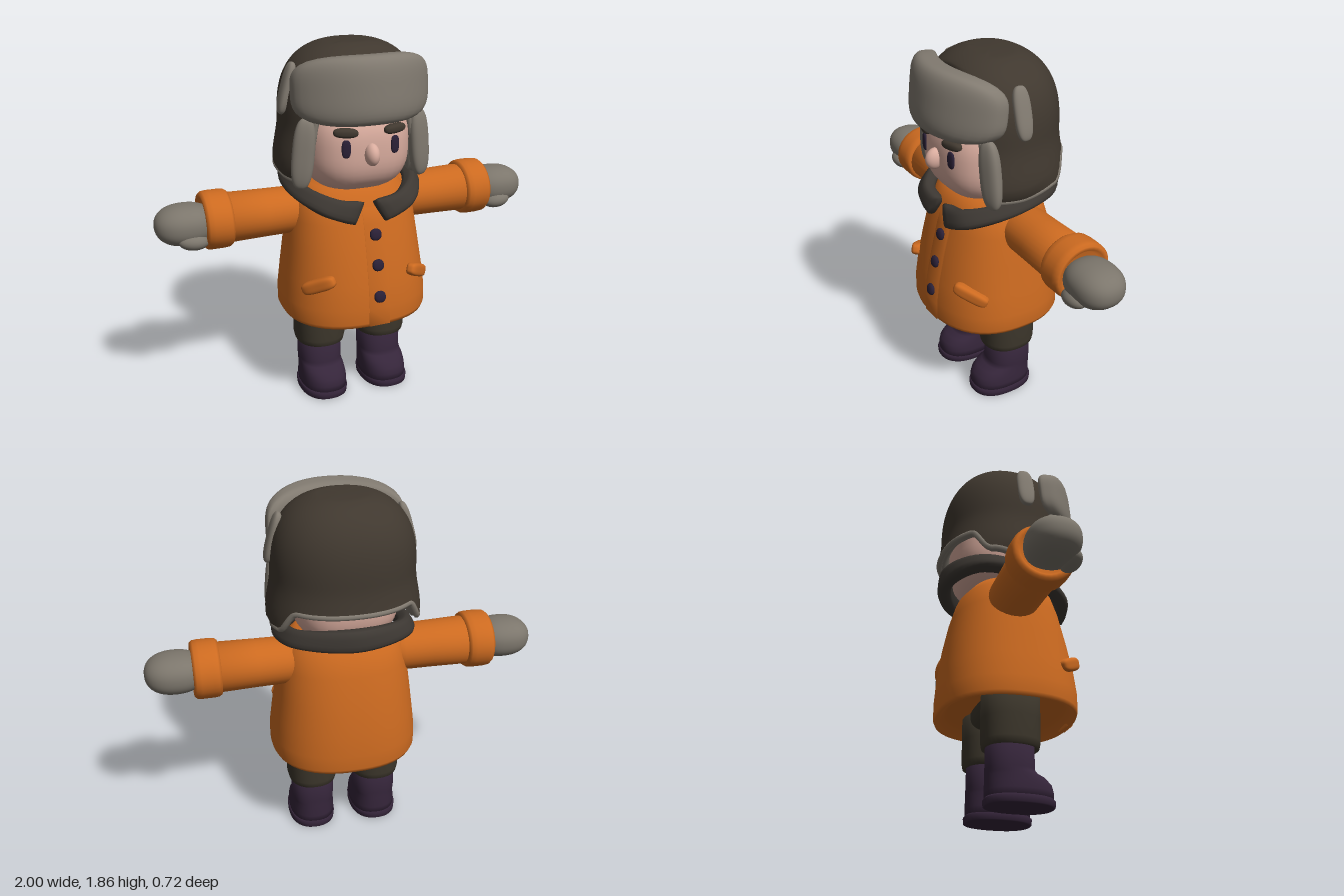
import * as THREE from 'three';
import { mergeVertices } from 'three/addons/utils/BufferGeometryUtils.js';

const mat = (name, color, side = THREE.FrontSide) => {
  const m = new THREE.MeshStandardMaterial({ color, side });
  m.name = name;
  return m;
};
const V = (x, y, z) => new THREE.Vector3(x, y, z);
const lerp = THREE.MathUtils.lerp;
const smooth = THREE.MathUtils.smoothstep;

// Closed rings of points joined into one smooth surface, turned outwards by its signed volume
function skin(rings, capStart = true, capEnd = true) {
  const n = rings[0].length, pts = rings.flat(), idx = [];
  for (let i = 0; i + 1 < rings.length; i++)
    for (let j = 0; j < n; j++) {
      const a = i * n + j, b = i * n + (j + 1) % n;
      idx.push(a, b, a + n, b, b + n, a + n);
    }
  const cap = (i, flip) => {
    const c = rings[i].reduce((s, p) => s.add(p), V(0, 0, 0)).divideScalar(n);
    const k = pts.push(c) - 1;
    for (let j = 0; j < n; j++) {
      const a = i * n + j, b = i * n + (j + 1) % n;
      flip ? idx.push(k, b, a) : idx.push(k, a, b);
    }
  };
  if (capStart) cap(0, true);
  if (capEnd) cap(rings.length - 1, false);
  let vol = 0;
  const t = V(0, 0, 0);
  for (let i = 0; i < idx.length; i += 3)
    vol += pts[idx[i]].dot(t.crossVectors(pts[idx[i + 1]], pts[idx[i + 2]]));
  if (vol < 0) idx.reverse();
  const g = new THREE.BufferGeometry().setFromPoints(pts);
  g.setIndex(idx);
  g.computeVertexNormals();
  return g;
}

// Horizontal superellipse ring
function ring(y, cx, rx, zf, zb, n = 2.3, seg = 40) {
  return Array.from({ length: seg }, (_, i) => {
    const a = i / seg * Math.PI * 2, s = Math.sin(a), c = Math.cos(a);
    const r = (Math.abs(s) ** n + Math.abs(c) ** n) ** (-1 / n);
    return V(cx + rx * r * s, y, (zf + zb) / 2 + (zf - zb) / 2 * r * c);
  });
}

// Upright ring across the x axis
const armRing = (x, cy, cz, ry, rz) => Array.from({ length: 32 }, (_, i) => {
  const a = i / 32 * Math.PI * 2;
  return V(x, cy + ry * Math.cos(a), cz + rz * Math.sin(a));
});

// Rounded lump: n = 2 is an ellipsoid, higher is boxier
function blob(rx, ry, rz, n = 2, bend = 0) {
  let g = new THREE.SphereGeometry(1, 40, 28);
  g.deleteAttribute('uv');
  g.deleteAttribute('normal');
  g = mergeVertices(g, 1e-4);
  const p = g.attributes.position;
  for (let i = 0; i < p.count; i++) {
    const x = p.getX(i), y = p.getY(i), z = p.getZ(i);
    const r = (Math.abs(x) ** n + Math.abs(y) ** n + Math.abs(z) ** n) ** (-1 / n);
    p.setXYZ(i, x * r * rx, y * r * ry, z * r * rz - bend * (x * r * rx) ** 2);
  }
  g.computeVertexNormals();
  return g;
}

// Coat rows: height, half width, front, back
const COAT = [[0.54, 0.3, 0.27, -0.28], [0.485, 0.355, 0.32, -0.33], [0.48, 0.37, 0.335, -0.345],
  [0.5, 0.38, 0.34, -0.352], [0.58, 0.38, 0.34, -0.352], [0.7, 0.365, 0.325, -0.343],
  [0.85, 0.345, 0.293, -0.322], [1.0, 0.325, 0.255, -0.29], [1.1, 0.3, 0.22, -0.26], [1.17, 0.23, 0.17, -0.2]];
function coatFront(y) {
  const i = Math.max(4, COAT.findIndex(r => r[0] > y && r[0] > 0.58) - 1);
  const a = COAT[i], b = COAT[i + 1];
  return y < 0.58 ? 0.34 : lerp(a[2], b[2], (y - a[0]) / (b[0] - a[0]));
}

// Hat radius by height, and height of its lower edge by angle from the front
function hatRadius(y) {
  if (y > 1.5) return 0.355 * Math.max(0, 1 - ((y - 1.5) / 0.37) ** 2.6) ** (1 / 2.6);
  return 0.355 + 0.028 * smooth(1.5 - y, 0, 0.22) - 0.035 * smooth(1.27 - y, 0, 0.08);
}
function hatEdge(a) {
  const d = Math.abs(THREE.MathUtils.radToDeg(a));
  return 1.53 - 0.31 * smooth(d, 40, 52) + 0.04 * smooth(d, 80, 115) + 0.11 * smooth(d, 116, 134);
}
function hatPoint(a, y, k = 1) {
  const s = Math.sin(a), c = Math.cos(a), n = 2.2;
  const r = (Math.abs(s) ** n + Math.abs(c) ** n) ** (-1 / n) * hatRadius(y) * k;
  const front = 0.17 - 0.06 * smooth(1.3 - y, 0, 0.12);
  return V(r * s, y, Math.min(front * k, -0.035 + 0.87 * r * c));
}

export function createModel() {
  const model = new THREE.Group();
  model.name = 'winterChild';
  const orange = mat('coatOrange', 0xcc6a20), dark = mat('hatBrown', 0x40382f);
  const collarMat = mat('collarBrown', 0x3d3833), pantsMat = mat('trouserBrown', 0x3c362b);
  const bootMat = mat('bootPurple', 0x35253a), ink = mat('eyeAndButton', 0x2a2036);
  const skinMat = mat('skin', 0xd9ac9e), fur = mat('furGrey', 0x817a70, THREE.DoubleSide);
  const mittenMat = mat('mittenGrey', 0x7c766c);
  const add = (name, geo, m, x = 0, y = 0, z = 0, rx = 0, ry = 0, rz = 0) => {
    const o = new THREE.Mesh(geo, m);
    o.name = name;
    o.position.set(x, y, z);
    o.rotation.set(rx, ry, rz, 'YXZ');
    model.add(o);
    return o;
  };

  // Coat with front overlap and buttons
  add('coat', skin(COAT.map(([y, w, f, b]) => ring(y, 0, w, f, b, 2.4, 56))), orange);
  const strip = [0.485, 0.58, 0.7, 0.85, 1.0, 1.08].map(y => {
    const z = coatFront(y);
    return [V(-0.03, y, z - 0.03), V(-0.03, y, z + 0.005), V(0.08, y, z + 0.003), V(0.08, y, z - 0.03)];
  });
  add('coatOverlap', skin(strip), orange);
  for (const y of [0.95, 0.8, 0.64])
    add('button', blob(0.03, 0.03, 0.016, 2.3), ink, 0.025, y, coatFront(y) + 0.008, -0.2);

  // Head and face
  add('head', blob(0.268, 0.24, 0.285, 2.8), skinMat, 0, 1.375, -0.01);
  add('nose', blob(0.036, 0.055, 0.05), skinMat, 0, 1.365, 0.28, -0.25);

  // Hat shell, lining and rim
  const around = f => Array.from({ length: 96 }, (_, j) => f((j / 96 * 2 - 1) * Math.PI));
  const shell = [];
  for (let i = 0; i <= 26; i++) {
    const v = lerp(0.07, 1, i / 26) ** 1.7;
    shell.push(around(a => hatPoint(a, lerp(1.868, hatEdge(a), v))));
  }
  add('hat', skin(shell, true, false), dark);
  const lining = [[1, 0], [0.9, -0.008], [0.83, 0.02], [0.8, 0.14]].map(([k, up]) =>
    around(a => hatPoint(a, hatEdge(a), k).add(V(0, up, 0))));
  add('hatLining', skin(lining, false, false), fur);
  const rim = new THREE.CatmullRomCurve3(around(a => hatPoint(a, hatEdge(a), 0.97)), true);
  add('hatRim', new THREE.TubeGeometry(rim, 160, 0.016, 8, true), fur);
  add('hatFrontFlap', blob(0.345, 0.163, 0.085, 3.6, 1.25), fur, 0, 1.675, 0.268, -0.1);

  // Collar: a rounded section swept round the neck between two edges
  const side = (p, m) => p.map(([x, y, z]) => V(x * m, y, z));
  const edge = p => new THREE.CatmullRomCurve3([...side(p, 1), ...side(p.slice(0, -1), -1).reverse()]);
  const inner = edge([[0.025, 1.12, 0.245], [0.16, 1.14, 0.22], [0.28, 1.19, 0.06], [0.25, 1.25, -0.19], [0, 1.285, -0.32]]);
  const outer = edge([[0.085, 1.01, 0.27], [0.24, 1.07, 0.225], [0.335, 1.13, 0.02], [0.285, 1.165, -0.21], [0, 1.175, -0.33]]);
  const collar = [];
  for (let i = 0; i <= 64; i++) {
    const t = i / 64, a = inner.getPoint(t), b = outer.getPoint(t);
    const mid = a.clone().add(b).multiplyScalar(0.5), half = a.clone().sub(b).multiplyScalar(0.5);
    const tan = inner.getTangent(t).add(outer.getTangent(t));
    const thick = tan.cross(half).normalize().multiplyScalar(0.036);
    const k = Math.min(1, 0.6 + Math.min(i, 64 - i) * 0.2);
    collar.push(Array.from({ length: 20 }, (_, j) => {
      const q = j / 20 * Math.PI * 2, c = Math.cos(q), s = Math.sin(q);
      const f = (c ** 4 + s ** 4) ** -0.25;
      return mid.clone().addScaledVector(half, c * f * (0.85 + 0.15 * k)).addScaledVector(thick, s * f * k);
    }));
  }
  add('collar', skin(collar), collarMat);

  // Trouser seat joining the legs
  add('trouserSeat', blob(0.26, 0.1, 0.13, 2.6), pantsMat, 0, 0.53, -0.03);

  for (const m of [1, -1]) {
    const s = m > 0 ? 'left' : 'right';
    // Face details and hat fur
    add(s + 'Eye', blob(0.022, 0.044, 0.009, 2.8), ink, m * 0.125, 1.4, 0.264, 0, m * 0.2);
    add(s + 'Eyebrow', blob(0.06, 0.023, 0.025, 2.6), dark, m * 0.125, 1.477, 0.257, 0, m * 0.25, m * 0.05);
    add(s + 'EarFlapFur', blob(0.055, 0.175, 0.035, 2.8), fur, m * 0.302, 1.365, 0.155, 0, m * 0.35, m * 0.1);
    add(s + 'TempleFur', blob(0.026, 0.128, 0.045, 2.8), fur, m * 0.333, 1.655, 0.005, 0, 0, m * 0.27);

    // Pocket flap
    add(s + 'Pocket', blob(0.095, 0.034, 0.03, 3.5), orange, m * 0.265, 0.71, 0.245, 0, m * 0.75, -m * 0.42);

    // Sleeve, cuff and mitten
    const tube = rows => skin(rows.map(([x, r]) => armRing(m * x, 1.018, -0.05, r, r * 1.07)));
    add(s + 'Sleeve', tube([[0.18, 0.1], [0.3, 0.118], [0.45, 0.12], [0.66, 0.125]]), orange);
    add(s + 'Cuff', tube([[0.63, 0.115], [0.632, 0.134], [0.645, 0.143], [0.67, 0.146], [0.73, 0.146],
      [0.755, 0.143], [0.768, 0.132], [0.768, 0.115], [0.75, 0.1]]), orange);
    add(s + 'Mitten', blob(0.15, 0.1, 0.125, 2.3), mittenMat, m * 0.85, 1.015, -0.045);
    add(s + 'Thumb', blob(0.075, 0.042, 0.05), mittenMat, m * 0.83, 0.952, 0.045, 0, 0, m * 0.1);

    // Trouser leg
    const leg = [[0.3, 0.1, 0.08, -0.14], [0.275, 0.112, 0.095, -0.155], [0.28, 0.125, 0.106, -0.167],
      [0.31, 0.132, 0.112, -0.172], [0.42, 0.133, 0.112, -0.172], [0.56, 0.135, 0.112, -0.172]];
    add(s + 'TrouserLeg', skin(leg.map(([y, w, f, b]) => ring(y, m * 0.172, w, f, b))), pantsMat);

    // Boot and sole
    const boot = [[0.02, 0.118, 0.172, -0.152], [0.07, 0.12, 0.174, -0.152], [0.105, 0.117, 0.165, -0.152],
      [0.135, 0.114, 0.135, -0.151], [0.15, 0.112, 0.1, -0.15], [0.17, 0.112, 0.082, -0.15], [0.31, 0.112, 0.08, -0.148]];
    add(s + 'Boot', skin(boot.map(([y, w, f, b]) => ring(y, m * 0.172, w, f, b, 2.4))), bootMat);
    const sole = [[0, 0.112, 0.17, -0.15], [0.003, 0.123, 0.18, -0.158], [0.03, 0.125, 0.182, -0.16], [0.04, 0.117, 0.172, -0.152]];
    add(s + 'Sole', skin(sole.map(([y, w, f, b]) => ring(y, m * 0.174, w, f, b, 2.4))), bootMat);
  }
  return model;
}
